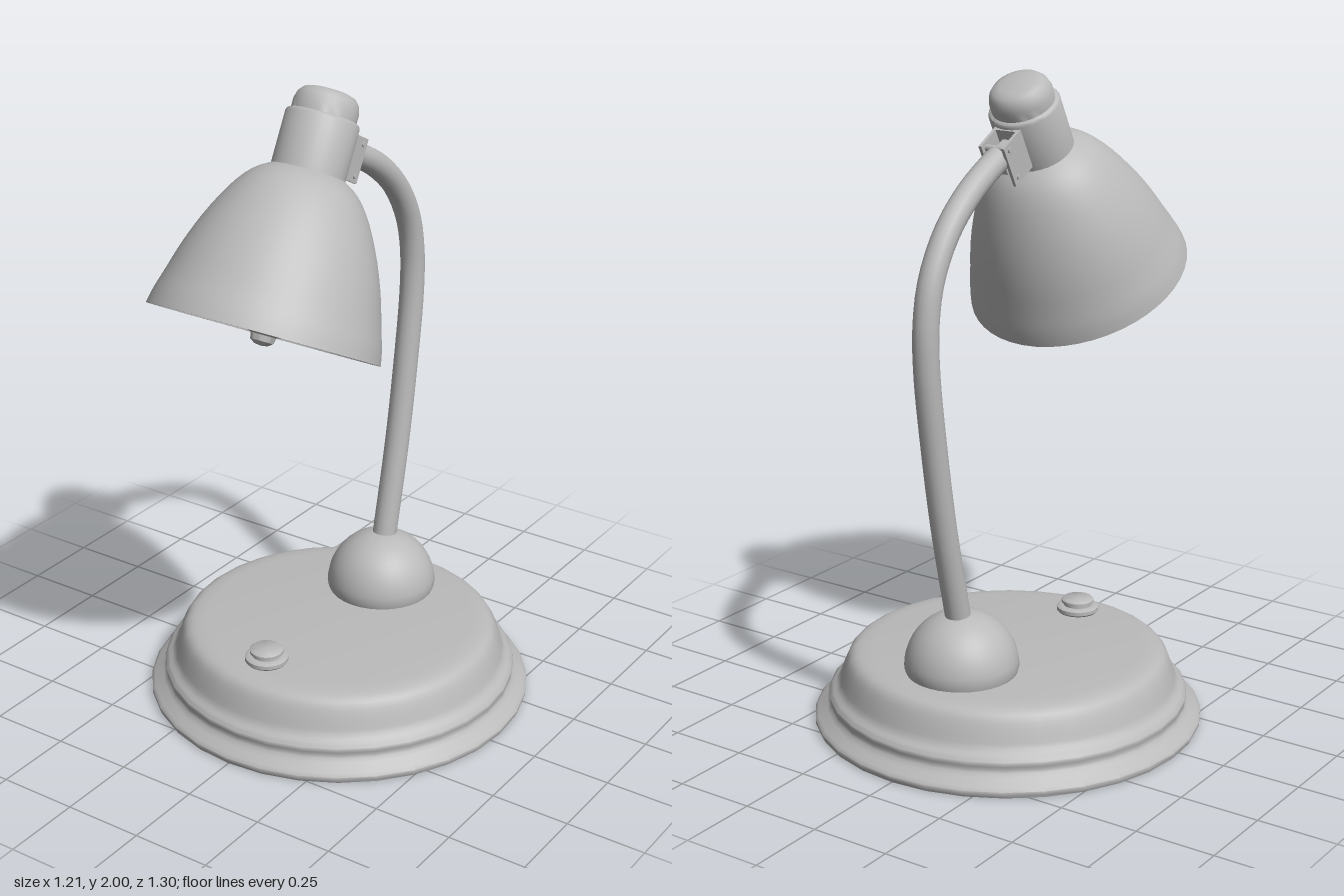
import * as THREE from 'three';
import { toCreasedNormals } from 'three/addons/utils/BufferGeometryUtils.js';

const grey = new THREE.MeshStandardMaterial({ color: 0xbababa });
grey.name = 'light grey';

function add(parent, name, geometry, x = 0, y = 0, z = 0) {
  const mesh = new THREE.Mesh(geometry, grey);
  mesh.name = name;
  mesh.position.set(x, y, z);
  parent.add(mesh);
  return mesh;
}

// Revolved [radius, height] profile, listed from bottom to top
function lathe(profile, segments = 32, crease = 0.7) {
  const points = profile.map(([r, y]) => new THREE.Vector2(r, y));
  return toCreasedNormals(new THREE.LatheGeometry(points, segments), crease);
}

// Points of a smooth curve through a few [radius, height] pairs
function smooth(profile, count) {
  const curve = new THREE.SplineCurve(profile.map(([r, y]) => new THREE.Vector2(r, y)));
  return curve.getPoints(count).map((p) => [p.x, p.y]);
}

export function createModel() {
  const lamp = new THREE.Group();
  lamp.name = 'deskLamp';

  // Stepped round base
  add(lamp, 'base', lathe([
    [0, 0], [0.6, 0], [0.605, 0.01], [0.605, 0.02], [0.595, 0.03],
    ...smooth([[0.575, 0.042], [0.556, 0.062], [0.56, 0.085], [0.552, 0.1], [0.53, 0.118],
      [0.518, 0.15], [0.505, 0.185], [0.49, 0.21], [0.465, 0.224], [0.42, 0.23]], 22),
    [0, 0.23],
  ], 32, 0.8), 0, 0, -0.045);

  // Push button near the front of the base
  add(lamp, 'button', lathe([
    [0.058, 0.225], [0.067, 0.235], [0.067, 0.247], [0.058, 0.252], [0.045, 0.252],
    [0.045, 0.26], [0.052, 0.262], [0.052, 0.27], [0.046, 0.275], [0, 0.275],
  ], 24), -0.03, 0, 0.31);

  // Dome holding the stem
  const dome = [[0.168, 0.225], [0.175, 0.247]];
  for (let i = 1; i <= 12; i++) {
    const a = (i / 12) * Math.PI / 2;
    dome.push([0.175 * Math.cos(a), 0.247 + 0.175 * Math.sin(a)]);
  }
  add(lamp, 'stemDome', lathe(dome), 0, 0, -0.29);

  // Curved stem, as [height, depth] points
  const path = new THREE.CatmullRomCurve3([
    [0.36, -0.297], [0.42, -0.31], [0.71, -0.375], [0.974, -0.42], [1.21, -0.45], [1.344, -0.45],
    [1.465, -0.423], [1.587, -0.35], [1.683, -0.243], [1.757, -0.11], [1.768, -0.085],
  ].map(([y, z]) => new THREE.Vector3(0, y, z)));
  add(lamp, 'stem', new THREE.TubeGeometry(path, 40, 0.039, 16));

  // Tilted head, with its origin at the centre of the shade rim
  const head = new THREE.Group();
  head.name = 'head';
  head.position.set(0, 1.339, 0.344);
  head.rotation.x = -0.4916;
  lamp.add(head);

  // Bell shade with a thin wall
  const outer = smooth([[0.347, 0], [0.338, 0.045], [0.32, 0.105], [0.292, 0.198],
    [0.253, 0.296], [0.203, 0.39], [0.155, 0.45], [0.105, 0.482]], 20);
  const inner = outer.map(([r, y]) => [r - 0.009, Math.max(0, y - 0.005)]).reverse();
  add(head, 'shade', lathe([[0, 0.477], ...inner, ...outer], 48));

  // Lamp socket with its rounded cap
  add(head, 'socket', lathe([
    [0.11, 0.46], [0.11, 0.635], [0.106, 0.643], [0.097, 0.647], [0.097, 0.675],
    [0.09, 0.698], [0.077, 0.713], [0.055, 0.72], [0, 0.722],
  ], 32));

  // Round bulb with a small tip and a neck
  const bulb = [[0, -0.033], [0.02, -0.03], [0.034, -0.02], [0.038, -0.002]];
  for (let i = 2; i <= 16; i++) {
    const a = -Math.PI / 2 + i * 0.14;
    bulb.push([0.17 * Math.cos(a), 0.165 + 0.17 * Math.sin(a)]);
  }
  bulb.push([0.085, 0.35], [0.075, 0.38], [0.075, 0.478]);
  add(head, 'bulb', lathe(bulb, 32));

  // Hinge joining the socket to the stem
  add(head, 'hingeBackPlate', new THREE.BoxGeometry(0.09, 0.135, 0.012), 0, 0.563, -0.108);
  add(head, 'hingeTongue', new THREE.BoxGeometry(0.04, 0.07, 0.075), 0, 0.563, -0.15);
  for (const side of [-1, 1]) {
    add(head, 'hingeCheek', new THREE.BoxGeometry(0.01, 0.135, 0.1), side * 0.04, 0.563, -0.147);
    for (const y of [0.515, 0.611]) {
      const rivet = add(head, 'hingeRivet', new THREE.CylinderGeometry(0.008, 0.008, 0.008, 12),
        side * 0.046, y, -0.175);
      rivet.rotation.z = Math.PI / 2;
    }
  }
  const pin = add(head, 'hingePin', new THREE.CylinderGeometry(0.01, 0.01, 0.08, 12), 0, 0.611, -0.175);
  pin.rotation.z = Math.PI / 2;

  return lamp;
}
